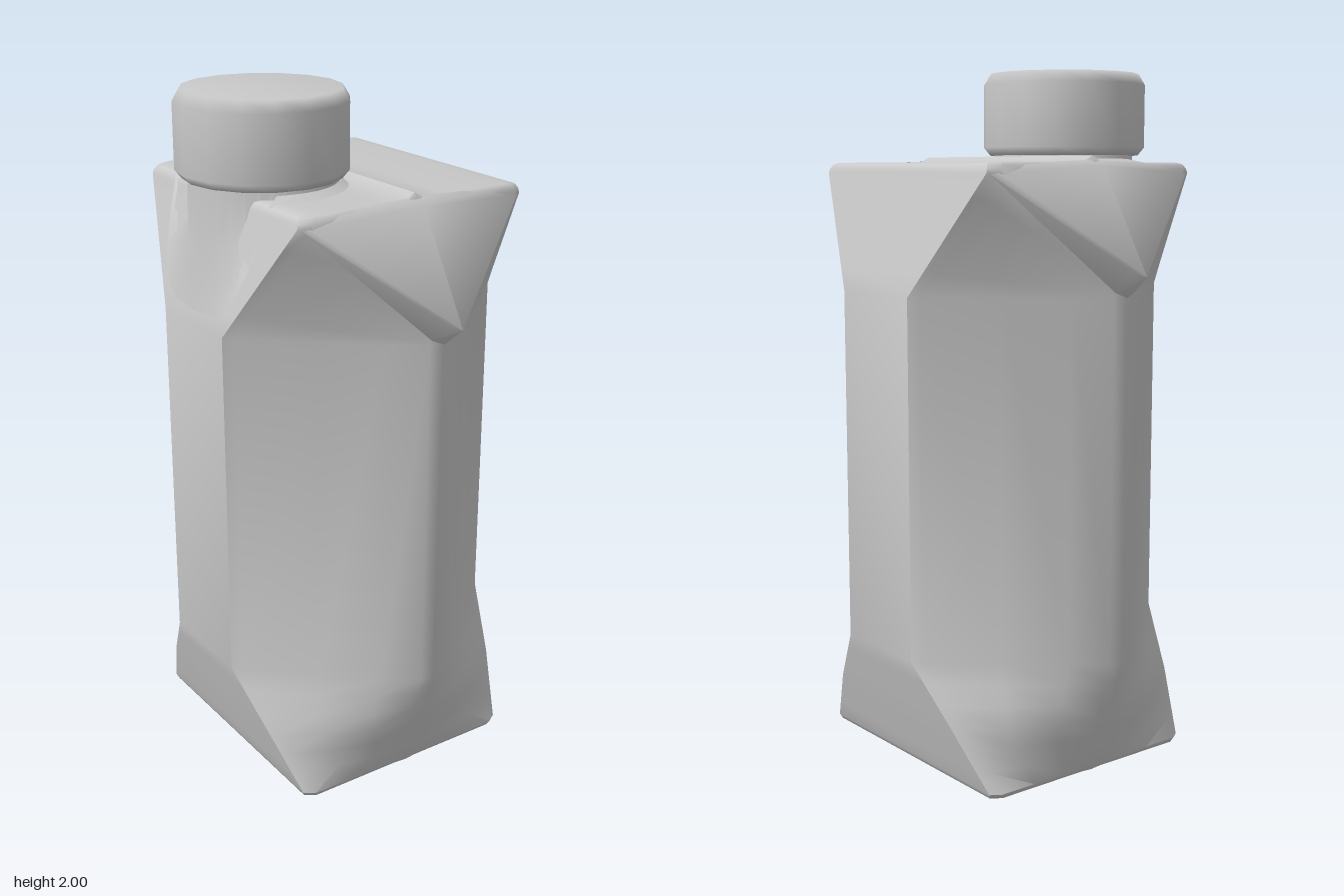
import * as THREE from 'three';
import { toCreasedNormals } from 'three/addons/utils/BufferGeometryUtils.js';
import { ConvexGeometry } from 'three/addons/geometries/ConvexGeometry.js';

const CREASE = 0.75;

// Full ring from the points of one quadrant (side to centre seam), mirrored in x and z
function ring(y, quarter, lift = 0) {
  const front = [...quarter, ...quarter.slice(0, -1).reverse().map(([x, z]) => [-x, z])];
  const full = [...front, ...front.slice().reverse().map(([x, z]) => [x, -z])];
  return full.map(([x, z]) => [x, y + (x === 0 ? lift : 0), z]);
}

// Rectangular level with clipped corners and a slight seam ridge
const rect = (x, z, seam) => [[x, z - 0.02], [x - 0.03, z], [x * 0.6, z], [x * 0.32, z], [0.035, z], [0, z + seam]];

// Rings blended from a (included) to b (left out)
const blend = (a, b, steps) => Array.from({ length: steps }, (_, k) =>
  a.map((p, i) => p.map((v, c) => v + (b[i][c] - v) * (k / steps))));

// Skin stacked rings; rings run clockwise seen from above
function loft(rings) {
  const n = rings[0].length, index = [];
  for (let k = 0; k < rings.length - 1; k++) {
    for (let i = 0; i < n; i++) {
      const j = (i + 1) % n, a = k * n, b = a + n;
      // Diagonals mirror across the seam and from front to back
      const flip = (i % (n / 2) > n / 4 - 1) !== (i >= n / 2);
      if (flip) index.push(a + i, b + i, a + j, b + i, b + j, a + j);
      else index.push(a + i, b + i, b + j, a + i, b + j, a + j);
    }
  }
  // Strip caps that join the front half of a ring to its back half
  const top = (rings.length - 1) * n;
  for (let i = 0; i < n / 2 - 1; i++) {
    const j = n - 1 - i;
    index.push(top + i, top + j, top + j - 1, top + i, top + j - 1, top + i + 1);
    index.push(i, j - 1, j, i, i + 1, j - 1);
  }
  const g = new THREE.BufferGeometry();
  g.setAttribute('position', new THREE.Float32BufferAttribute(rings.flat(2), 3));
  g.setIndex(index);
  return toCreasedNormals(g.toNonIndexed(), CREASE);
}

export function createModel() {
  const group = new THREE.Group();
  const gray = new THREE.MeshStandardMaterial({ color: 0xc8c8c8 });
  gray.name = 'plain gray';
  const add = (name, geometry) => {
    const mesh = new THREE.Mesh(geometry, gray);
    mesh.name = name;
    group.add(mesh);
    return mesh;
  };

  // Carton: rectangular ends, faceted waist with bowed front and back
  const waist = [[0.458, 0.158], [0.435, 0.182], [0.27, 0.332], [0.13, 0.45], [0.035, 0.515], [0, 0.527]];
  const shin = [[0.411, 0.282], [0.388, 0.305], [0.29, 0.382], [0.16, 0.447], [0.035, 0.47], [0, 0.478]];
  const foot = ring(0.02, rect(0.36, 0.408, 0.01));
  const middle = ring(0.19, shin), low = ring(0.36, waist), high = ring(1.38, waist);
  // The upper edge of the front and back dips in a V under the ears
  const vee = ring(1.71, rect(0.363, 0.405, 0)).map(([x, y, z]) => {
    const t = Math.max(0, 1 - Math.abs(x) / 0.333);
    return [x, y - 0.328 * t, z + Math.sign(z) * 0.122 * t];
  });
  add('cartonBody', loft([
    ring(0, rect(0.34, 0.388, 0)),
    ring(0.006, rect(0.353, 0.401, 0.004)),
    ...blend(foot, middle, 3),
    ...blend(middle, low, 3),
    low,
    ...blend(high, vee, 5),
    vee,
    ring(1.722, rect(0.36, 0.403, 0)),
    ring(1.735, rect(0.352, 0.396, 0), 0.01),
    ring(1.74, rect(0.338, 0.385, 0), 0.018),
  ]));

  // Folded ears on front and back
  for (const s of [1, -1]) {
    const points = [[0, 1.746, 0.385], [0, 1.73, 0.43], [0, 1.44, 0.605], [0, 1.38, 0.53]];
    for (const m of [1, -1]) {
      points.push([m * 0.36, 1.712, 0.386], [m * 0.335, 1.734, 0.385], [m * 0.335, 1.71, 0.404],
        [m * 0.025, 1.45, 0.587], [m * 0.035, 1.395, 0.522]);
    }
    const hull = new ConvexGeometry(points.map(([x, y, z]) => new THREE.Vector3(x, y, z * s)));
    add(s > 0 ? 'frontEar' : 'backEar', toCreasedNormals(hull, 1.1));
  }

  // Spout: round neck flaring onto the top and down the sloping side
  const neckX = -0.225, rings = [[], [], []];
  for (let i = 0; i < 32; i++) {
    const a = (i / 32) * Math.PI * 2, c = Math.cos(a), d = Math.sin(a);
    const square = c < 0 ? 0.55 : 1;
    const x = neckX + 0.23 * Math.sign(c) * Math.abs(c) ** square;
    const z = 0.257 * Math.sign(d) * Math.abs(d) ** square;
    const drop = Math.max(0, -x - 0.36) * 3.4;
    rings[0].push([x, 1.738 - drop, z]);
    rings[1].push([neckX + 0.208 * c, 1.752 - drop * 0.55, 0.214 * d]);
    rings[2].push([neckX + 0.205 * c, 1.79, 0.205 * d]);
  }
  add('spoutNeck', loft(rings));

  // Screw cap with softened rims
  const profile = [[0, 1.762], [0.222, 1.762], [0.241, 1.785], [0.241, 1.968], [0.222, 2], [0, 2]]
    .map(([r, y]) => new THREE.Vector2(r, y));
  add('screwCap', new THREE.LatheGeometry(profile, 16)).position.x = neckX;

  return group;
}
